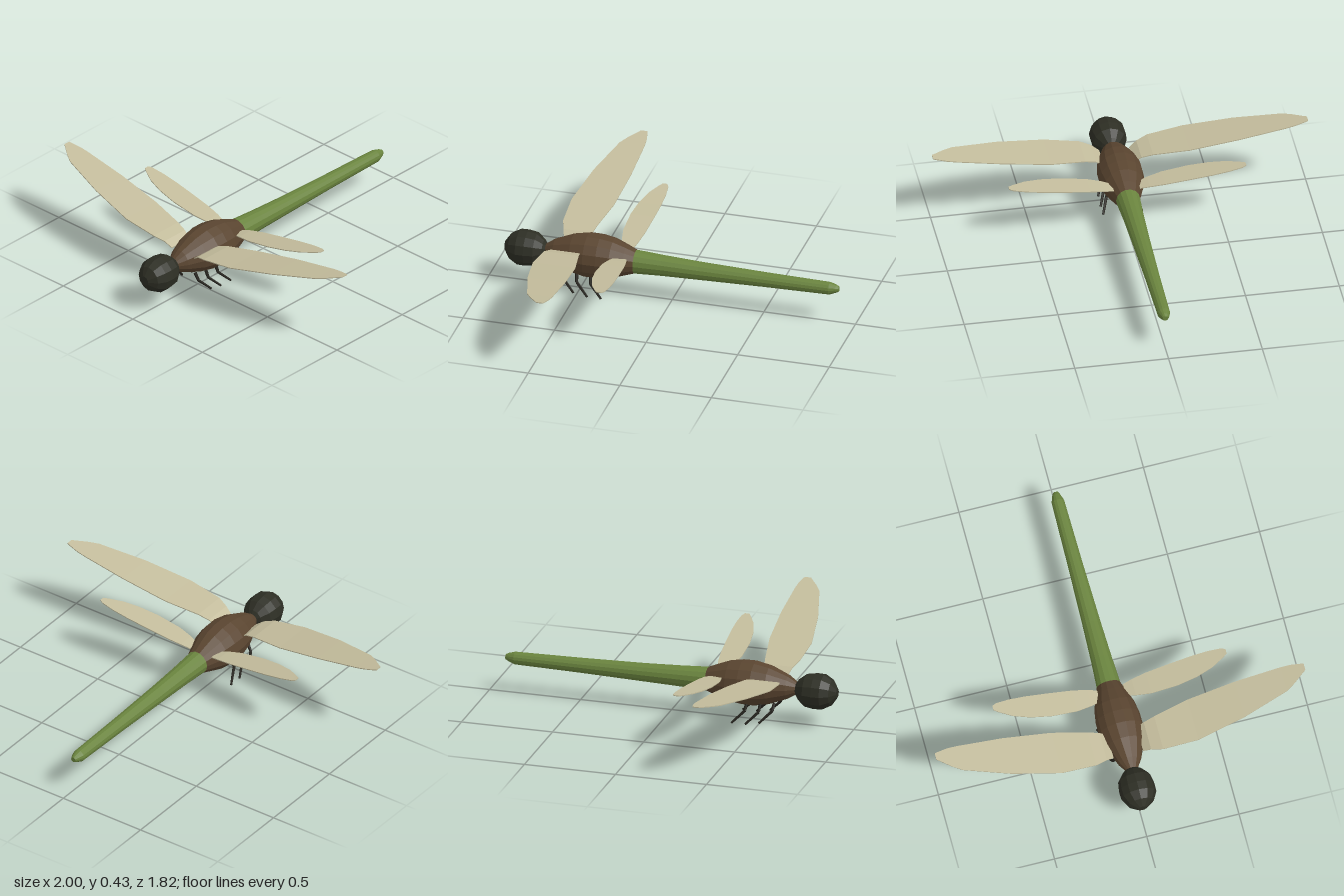
import * as THREE from 'three';

const flat = (name, color) => {
  const m = new THREE.MeshStandardMaterial({ color });
  m.name = name;
  m.flatShading = true;
  return m;
};

// Closed skin over a row of rings, with flat caps at both ends
function loft(rings) {
  const n = rings[0].length, pos = [], index = [];
  rings.forEach((r) => r.forEach((p) => pos.push(...p)));
  for (let k = 0; k < rings.length - 1; k++) {
    for (let i = 0; i < n; i++) {
      const a = k * n + i, b = k * n + (i + 1) % n;
      index.push(a, b, a + n, b, b + n, a + n);
    }
  }
  const last = (rings.length - 1) * n;
  for (let i = 1; i < n - 1; i++) index.push(0, i + 1, i, last, last + i, last + i + 1);
  const g = new THREE.BufferGeometry();
  g.setAttribute('position', new THREE.Float32BufferAttribute(pos, 3));
  g.setIndex(index);
  const out = g.toNonIndexed();
  out.computeVertexNormals();
  return out;
}

// Round body section from [z, centre y, radius], listed back to front
const roundBody = (sections, sides) => loft(sections.map(([z, y, r]) =>
  Array.from({ length: sides }, (_, i) => {
    const a = (i / sides) * Math.PI * 2;
    return [r * Math.cos(a), y + r * Math.sin(a), z];
  })));

// Thin wing from [x, y, rear z, front z], listed root to tip
function wing(stations, side) {
  const t = 0.0025;
  const rings = stations.map(([x, y, z0, z1]) => [
    [side * x, y + t, z0], [side * x, y + t, z1],
    [side * x, y - t, z1], [side * x, y - t, z0]]);
  return loft(side > 0 ? rings : rings.reverse());
}

function rod(from, to, r0, r1) {
  const a = new THREE.Vector3(...from), b = new THREE.Vector3(...to);
  const d = b.clone().sub(a);
  const g = new THREE.CylinderGeometry(r1, r0, d.length(), 6);
  g.applyQuaternion(new THREE.Quaternion().setFromUnitVectors(
    new THREE.Vector3(0, 1, 0), d.normalize()));
  const mid = a.add(b).multiplyScalar(0.5);
  return g.translate(mid.x, mid.y, mid.z);
}

export function createModel() {
  const model = new THREE.Group();
  model.name = 'dragonfly';
  const green = flat('tail green', 0x6a843e);
  const brown = flat('thorax brown', 0x5a4530);
  const dark = flat('head dark', 0x2d2e24);
  const black = flat('leg black', 0x26241e);
  const pale = flat('wing pale', 0xc3bc9c);
  const add = (name, geometry, material) => {
    const mesh = new THREE.Mesh(geometry, material);
    mesh.name = name;
    model.add(mesh);
  };

  // Body
  add('tail', roundBody([
    [-0.91, 0.197, 0.014], [-0.895, 0.197, 0.022], [-0.86, 0.195, 0.034],
    [-0.5, 0.195, 0.04], [-0.15, 0.195, 0.049], [0.05, 0.197, 0.056], [0.2, 0.198, 0.064],
  ], 14), green);
  add('thorax', roundBody([
    [0.2, 0.198, 0.064], [0.25, 0.2, 0.083], [0.32, 0.202, 0.108], [0.39, 0.203, 0.119],
    [0.46, 0.203, 0.12], [0.54, 0.203, 0.104], [0.64, 0.202, 0.064], [0.7, 0.2, 0.025],
  ], 14), brown);
  add('head', roundBody([
    [0.68, 0.198, 0.025], [0.7, 0.196, 0.055], [0.74, 0.195, 0.088], [0.79, 0.195, 0.096],
    [0.835, 0.195, 0.095], [0.88, 0.195, 0.07], [0.91, 0.195, 0.026],
  ], 12), dark);

  // Wings and legs, mirrored
  const foreWing = [
    [0.08, 0.238, 0.48, 0.615], [0.12, 0.266, 0.472, 0.628], [0.18, 0.284, 0.46, 0.648],
    [0.37, 0.314, 0.424, 0.655], [0.63, 0.362, 0.406, 0.61], [0.88, 0.406, 0.404, 0.54],
    [0.93, 0.415, 0.407, 0.51], [0.985, 0.425, 0.418, 0.468], [1, 0.428, 0.422, 0.458],
  ];
  const hindWing = [
    [0.07, 0.24, 0.23, 0.295], [0.12, 0.252, 0.218, 0.31], [0.2, 0.266, 0.206, 0.325],
    [0.34, 0.288, 0.196, 0.325], [0.45, 0.305, 0.19, 0.31], [0.54, 0.319, 0.19, 0.284],
    [0.61, 0.33, 0.197, 0.247], [0.632, 0.334, 0.208, 0.232],
  ];
  const legs = [[0.58, 0.02], [0.505, 0.006], [0.43, 0.006]];
  for (const side of [1, -1]) {
    const label = side > 0 ? 'left' : 'right';
    add(label + 'ForeWing', wing(foreWing, side), pale);
    add(label + 'HindWing', wing(hindWing, side), pale);
    legs.forEach(([z, foot], i) => {
      const knee = [side * 0.075, foot + 0.066, z - 0.004];
      add(label + 'UpperLeg' + (i + 1), rod([side * 0.055, 0.125, z], knee, 0.009, 0.008), black);
      add(label + 'LowerLeg' + (i + 1),
        rod(knee, [side * 0.104, foot, z - 0.07], 0.008, 0.006), black);
    });
  }
  return model;
}
